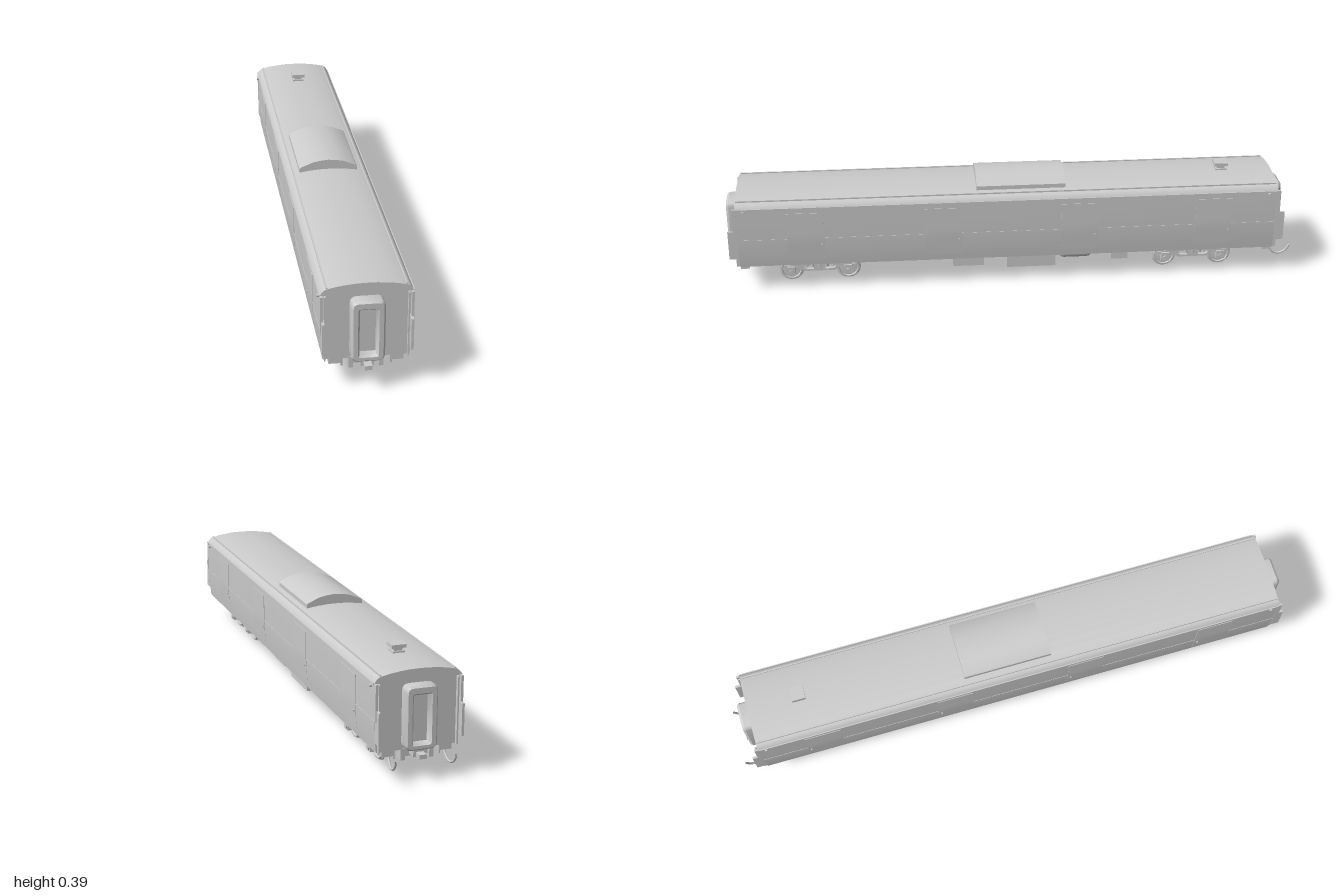
import * as THREE from 'three';
import { toCreasedNormals } from 'three/addons/utils/BufferGeometryUtils.js';

const mat = new THREE.MeshStandardMaterial({ color: 0xcccccc, side: THREE.DoubleSide });
const Z0 = -0.925, Z1 = 0.95, MID = (Z0 + Z1) / 2;

function add(parent, name, geo, x = 0, y = 0, z = 0) {
  const m = new THREE.Mesh(geo, mat);
  m.name = name;
  m.position.set(x, y, z);
  parent.add(m);
  return m;
}
// box given by its ranges
function box(parent, name, x0, x1, y0, y1, z0, z1) {
  return add(parent, name, new THREE.BoxGeometry(Math.abs(x1 - x0), y1 - y0, z1 - z0),
    (x0 + x1) / 2, (y0 + y1) / 2, (z0 + z1) / 2);
}
function rod(parent, name, axis, r, len, x, y, z, seg = 14) {
  const g = new THREE.CylinderGeometry(r, r, len, seg);
  if (axis === 'x') g.rotateZ(Math.PI / 2);
  if (axis === 'z') g.rotateX(Math.PI / 2);
  return add(parent, name, g, x, y, z);
}
// symmetric section (right half, listed bottom to top) swept along z
function sweep(half, z0, z1) {
  const left = half.filter(p => p[0] > 0).map(([x, y]) => [-x, y]).reverse();
  const shape = new THREE.Shape([...half, ...left].map(p => new THREE.Vector2(...p)));
  const g = new THREE.ExtrudeGeometry(shape, { depth: z1 - z0, bevelEnabled: false });
  g.translate(0, 0, z0);
  return toCreasedNormals(g, 0.45);
}
function roundRect(Type, hw, y0, y1, r) {
  const s = new Type();
  s.moveTo(-hw + r, y0).lineTo(hw - r, y0).quadraticCurveTo(hw, y0, hw, y0 + r);
  s.lineTo(hw, y1 - r).quadraticCurveTo(hw, y1, hw - r, y1);
  s.lineTo(-hw + r, y1).quadraticCurveTo(-hw, y1, -hw, y1 - r);
  s.lineTo(-hw, y0 + r).quadraticCurveTo(-hw, y0, -hw + r, y0);
  return s;
}
// half width of the side wall at height y
const wallX = y => y > 0.2 ? 0.141 : 0.133 + 0.008 * (y - 0.097) / 0.103;

function buildBody(root) {
  add(root, 'body', sweep([[0.133, 0.097], [0.138, 0.14], [0.141, 0.2], [0.141, 0.318]], Z0, Z1));
  add(root, 'roof', sweep([[0.142, 0.317], [0.137, 0.327], [0.129, 0.335], [0.118, 0.339],
    [0.09, 0.345], [0.06, 0.349], [0.03, 0.3515], [0, 0.352]], Z0 - 0.003, Z1 + 0.003));
  add(root, 'roofHump', sweep([[0.1, 0.335], [0.1, 0.357], [0.094, 0.362], [0.052, 0.379],
    [0.027, 0.3835], [0, 0.386]], -0.185, 0.125));
  // roof ventilator
  box(root, 'ventNeck', -0.014, 0.014, 0.348, 0.368, -0.763, -0.735);
  box(root, 'ventBase', -0.02, 0.02, 0.348, 0.357, -0.769, -0.729);
  box(root, 'ventCap', -0.024, 0.024, 0.368, 0.379, -0.773, -0.725);

  for (const s of [1, -1]) {
    box(root, 'gutter', s * 0.14, s * 0.1445, 0.315, 0.319, Z0, Z1);
    box(root, 'roofRail', s * 0.118, s * 0.123, 0.336, 0.342, Z0, Z1);
    box(root, 'beltRib', s * 0.14, s * 0.1422, 0.199, 0.202, Z0, Z1);
    // sliding doors follow the taper of the wall
    for (const z of [0.718, 0.243, -0.232, -0.705]) {
      const g = new THREE.BoxGeometry(0.004, 0.175, 0.128, 1, 8, 1);
      const p = g.attributes.position;
      for (let i = 0; i < p.count; i++) p.setX(i, p.getX(i) + s * wallX(p.getY(i) + 0.21));
      g.computeVertexNormals();
      add(root, 'door', g, 0, 0.21, z);
      box(root, 'doorHandle', s * 0.142, s * 0.146, 0.174, 0.18, z - 0.056, z - 0.05);
    }
    for (const [z, e] of [[Z1, 1], [Z0, -1]]) {
      // corner posts, fins, marker lamps and steps
      const post = (name, x0, x1, y0, y1, d) =>
        box(root, name, s * x0, s * x1, y0, y1, Math.min(z, z + e * d), Math.max(z, z + e * d));
      post('cornerPost', 0.125, 0.13, 0.097, 0.315, 0.012);
      post('cornerRail', 0.134, 0.142, 0.2, 0.318, 0.015);
      post('cornerFin', 0.131, 0.139, 0.13, 0.235, 0.034);
      post('cornerStep', 0.075, 0.115, 0.08, 0.098, -0.03);
      rod(root, 'markerLamp', 'x', 0.006, 0.01, s * 0.143, 0.306, z - e * 0.025);
    }
  }
}

// gangway, coupler and buffer beam; built facing +z
function buildEnd(root, name, gangwayDepth, couplerDepth) {
  const end = new THREE.Group();
  end.name = name;
  const frame = roundRect(THREE.Shape, 0.046, 0.108, 0.302, 0.016);
  frame.holes.push(roundRect(THREE.Path, 0.032, 0.118, 0.284, 0.008));
  const bevel = 0.008;
  const g = new THREE.ExtrudeGeometry(frame, { depth: gangwayDepth - bevel, bevelThickness: bevel,
    bevelSize: 0.006, bevelSegments: 1, curveSegments: 4 });
  add(end, 'gangwayFrame', toCreasedNormals(g, 0.6));
  box(end, 'gangwayDoor', -0.036, 0.036, 0.115, 0.29, 0, 0.012);
  box(end, 'bufferBeam', -0.054, 0.054, 0.07, 0.1, -0.03, -0.012);
  box(end, 'couplerPocket', -0.021, 0.021, 0.077, 0.101, -0.03, 0.022);
  box(end, 'couplerHead', -0.012, 0.012, 0.079, 0.093, 0.02, couplerDepth);
  for (const s of [1, -1]) {
    box(end, 'beamBracket', s * 0.04, s * 0.054, 0.063, 0.1, -0.025, 0.002);
    rod(end, 'pipeCock', 'y', 0.004, 0.03, s * 0.075, 0.085, -0.005, 8);
  }
  root.add(end);
  return end;
}

function buildBogie(root, z) {
  const bogie = new THREE.Group();
  bogie.name = 'bogie';
  bogie.position.z = z;
  root.add(bogie);
  // wheel profile: hub, dished web, tread, flange
  const profile = [[0.001, -0.007], [0.012, -0.007], [0.014, -0.003], [0.032, -0.002], [0.034, -0.006],
    [0.043, -0.006], [0.043, -0.002], [0.039, 0], [0.038, 0.007], [0.033, 0.007], [0.031, 0.002],
    [0.014, 0.003], [0.012, 0.008], [0.001, 0.008]].map(p => new THREE.Vector2(...p));
  const wheel = toCreasedNormals(new THREE.LatheGeometry(profile, 28), 0.5);
  // cast side frame: dropped centre, raised over the axle boxes
  const frame = new THREE.Shape([[-0.125, 0.058], [-0.075, 0.058], [-0.05, 0.046], [0.05, 0.046],
    [0.075, 0.058], [0.125, 0.058], [0.125, 0.068], [0.07, 0.074], [-0.07, 0.074], [-0.125, 0.068],
  ].map(p => new THREE.Vector2(...p)));
  frame.holes.push(new THREE.Path([[-0.055, 0.058], [-0.055, 0.067], [-0.02, 0.067], [-0.02, 0.053],
    [-0.045, 0.053]].map(p => new THREE.Vector2(...p))));
  frame.holes.push(new THREE.Path([[0.055, 0.058], [0.055, 0.067], [0.02, 0.067], [0.02, 0.053],
    [0.045, 0.053]].map(p => new THREE.Vector2(...p))));
  const frameGeo = new THREE.ExtrudeGeometry(frame, { depth: 0.012, bevelEnabled: false });
  frameGeo.rotateY(-Math.PI / 2).translate(0.006, 0, 0);

  for (const a of [0.1, -0.1]) {
    rod(bogie, 'axle', 'x', 0.01, 0.17, 0, 0.044, a);
    for (const s of [1, -1]) {
      const w = add(bogie, 'wheel', wheel, s * 0.055, 0.0435, a);
      w.rotation.z = -s * Math.PI / 2;
      box(bogie, 'axleBox', s * 0.068, s * 0.09, 0.034, 0.066, a - 0.014, a + 0.014);
      rod(bogie, 'axleCap', 'x', 0.009, 0.006, s * 0.091, 0.046, a);
      box(bogie, 'brakeShoe', s * 0.05, s * 0.062, 0.035, 0.062, a * 0.48 - 0.004, a * 0.48 + 0.004);
    }
    rod(bogie, 'brakeBeam', 'x', 0.004, 0.11, 0, 0.045, a * 0.45, 8);
  }
  for (const s of [1, -1]) {
    add(bogie, 'sideFrame', frameGeo, s * 0.077);
    for (const d of [-0.024, 0, 0.024]) rod(bogie, 'spring', 'y', 0.009, 0.026, s * 0.077, 0.075, d, 10);
    box(bogie, 'springCap', s * 0.065, s * 0.09, 0.084, 0.09, -0.045, 0.045);
  }
  box(bogie, 'bolster', -0.085, 0.085, 0.066, 0.085, -0.025, 0.025);
  rod(bogie, 'centrePivot', 'y', 0.025, 0.03, 0, 0.085, 0, 16);
}

function buildUnderfloor(root) {
  box(root, 'batteryBox', -0.103, -0.045, 0.034, 0.1, 0.08, 0.355);
  box(root, 'rearEquipmentBox', -0.103, -0.045, 0.035, 0.1, -0.385, -0.22);
  box(root, 'smallEquipmentBox', 0.035, 0.09, 0.046, 0.1, 0.1, 0.21);
  box(root, 'midEquipmentBox', 0.035, 0.09, 0.034, 0.1, -0.155, 0.018);
  box(root, 'valveBox', 0.04, 0.08, 0.046, 0.1, -0.415, -0.355);
  // air tanks with domed ends
  for (const [x, z, len] of [[0.06, -0.228, 0.11], [-0.07, -0.09, 0.15]]) {
    const tank = new THREE.CapsuleGeometry(0.021, len - 0.03, 4, 16);
    tank.rotateX(Math.PI / 2);
    add(root, 'airTank', tank, x, 0.074, z);
    for (const d of [-0.3, 0.3])
      box(root, 'tankStrap', x - 0.012, x + 0.012, 0.085, 0.1, z + d * len - 0.005, z + d * len + 0.005);
  }
  // small hanging drain pots beside each bogie
  for (const z of [0.505, -0.475]) for (const s of [1, -1]) {
    rod(root, 'drainPot', 'y', 0.012, 0.018, s * 0.04, 0.077, z);
    rod(root, 'drainPipe', 'y', 0.006, 0.02, s * 0.04, 0.09, z, 10);
  }
}

export function createModel() {
  const root = new THREE.Group();
  root.name = 'luggageVan';
  buildBody(root);
  buildEnd(root, 'frontEnd', 0.042, 0.05).position.z = Z1;
  const back = buildEnd(root, 'backEnd', 0.038, 0.05);
  back.position.z = Z0;
  back.rotation.y = Math.PI;
  buildBogie(root, 0.68);
  buildBogie(root, -0.65);
  buildUnderfloor(root);
  // hanging hoses at the back
  for (const s of [1, -1]) {
    const path = new THREE.CatmullRomCurve3([[0.09, 0.1, -0.915], [0.091, 0.08, -0.921], [0.093, 0.06, -0.938],
      [0.095, 0.053, -0.958], [0.097, 0.064, -0.982], [0.098, 0.088, -0.998],
    ].map(([x, y, z]) => new THREE.Vector3(s * x, y, z)));
    add(root, 'hose', new THREE.TubeGeometry(path, 24, 0.004, 8));
  }
  return root;
}
